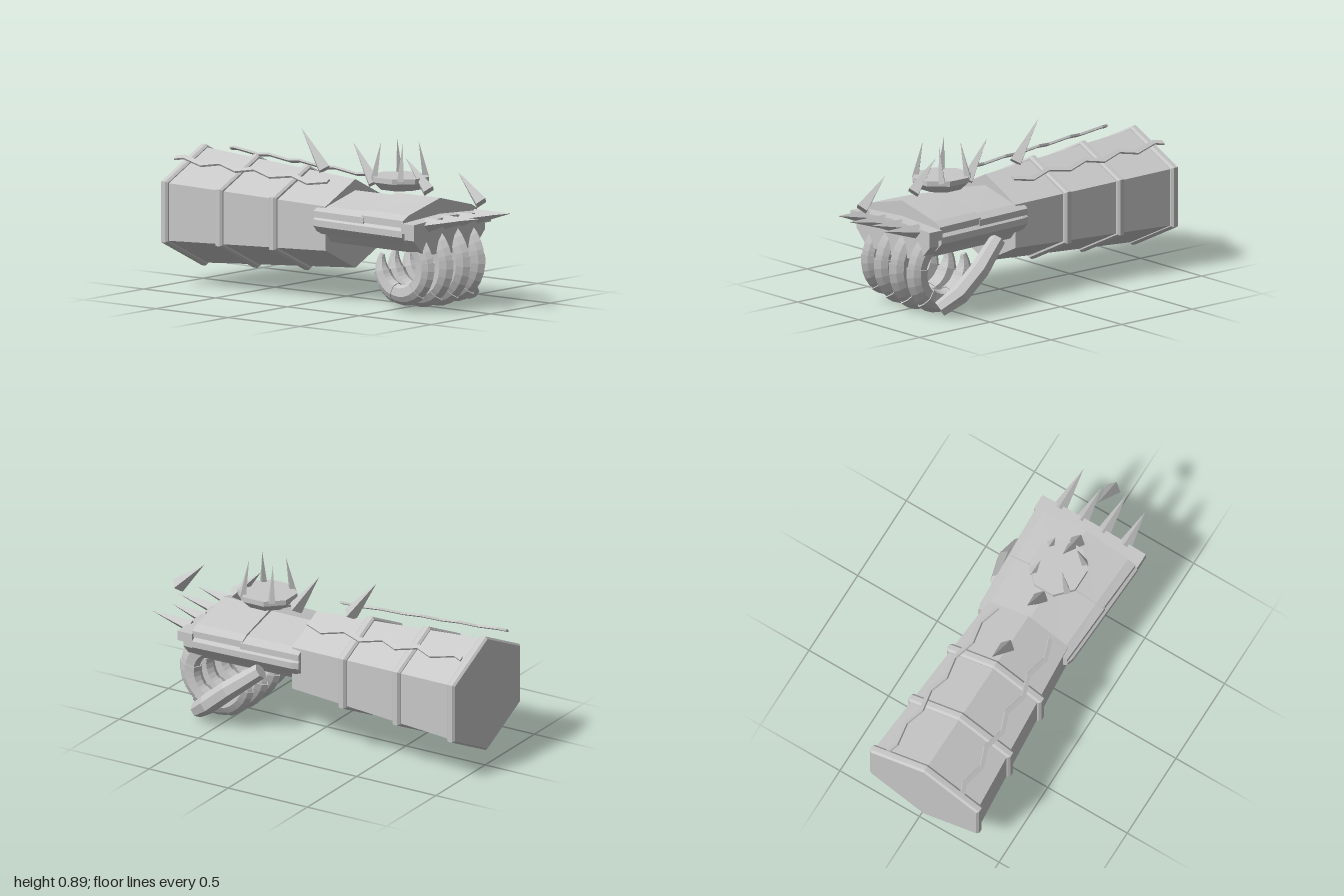
import * as THREE from 'three';

const MID = 0.025; // z of the arm's centre line
const steel = new THREE.MeshStandardMaterial({ color: 0xc8c8c8, flatShading: true });
steel.name = 'steel';

const V = (x, y, z) => new THREE.Vector3(x, y, z);

// Closed faceted solid through a list of equal-sized rings of points
function loft(rings) {
  const tris = [];
  const n = rings[0].length;
  const centre = (r) => r.reduce((a, p) => a.add(p), V(0, 0, 0)).divideScalar(n);
  for (let i = 0; i < rings.length - 1; i++) {
    for (let j = 0; j < n; j++) {
      const k = (j + 1) % n;
      const a = rings[i][j], b = rings[i][k], c = rings[i + 1][k], d = rings[i + 1][j];
      tris.push([a, b, c], [a, c, d]);
    }
  }
  const first = rings[0], last = rings[rings.length - 1];
  const c0 = centre(first), c1 = centre(last);
  for (let j = 0; j < n; j++) {
    const k = (j + 1) % n;
    tris.push([c0, first[k], first[j]], [c1, last[j], last[k]]);
  }
  // turn the faces outward if the rings run the other way
  let volume = 0;
  for (const [a, b, c] of tris) {
    volume += a.clone().sub(c0).dot(b.clone().sub(c0).cross(c.clone().sub(c0)));
  }
  const points = tris.flatMap(([a, b, c]) => (volume < 0 ? [a, c, b] : [a, b, c]));
  const geo = new THREE.BufferGeometry().setFromPoints(points);
  geo.computeVertexNormals();
  return geo;
}

// Ring at x from [z, y] pairs, z measured from the centre line and scaled
const ringX = (x, pairs, s = 1) => pairs.map(([z, y]) => V(x, y, MID + z * s));
// Right half of an outline, mirrored into a full one
const mirrored = (half) => [...half, ...half.slice().reverse().filter(([z]) => z !== 0).map(([z, y]) => [-z, y])];

export function createModel() {
  const model = new THREE.Group();
  model.name = 'gauntlet';
  const add = (name, geo, parent = model) => {
    const mesh = new THREE.Mesh(geo, steel);
    mesh.name = name;
    parent.add(mesh);
    return mesh;
  };
  const group = (name) => {
    const g = new THREE.Group();
    g.name = name;
    model.add(g);
    return g;
  };
  const spike = (name, base, tip, r, parent) => {
    const dir = tip.clone().sub(base);
    const mesh = add(name, new THREE.ConeGeometry(r, dir.length(), 4), parent);
    mesh.position.copy(base).add(tip).multiplyScalar(0.5);
    mesh.quaternion.setFromUnitVectors(V(0, 1, 0), dir.normalize());
  };

  // Six-sided forearm sleeve, tapering to the wrist
  const hexRing = (x, r) => Array.from({ length: 6 }, (_, i) => {
    const a = (i * Math.PI) / 3;
    return V(x, 0.41 + r * Math.cos(a), MID + 1.2 * r * Math.sin(a));
  });
  add('forearmSleeve', loft([hexRing(-0.99, 0.315), hexRing(0.08, 0.24)]));
  const bands = group('sleeveBands');
  [[-0.975, 0.33], [-0.615, 0.308], [-0.26, 0.286]].forEach(([x, r]) => {
    add('sleeveBand', loft([
      hexRing(x - 0.025, r - 0.012), hexRing(x - 0.013, r), hexRing(x + 0.013, r), hexRing(x + 0.025, r - 0.012),
    ]), bands);
  });

  // Zigzag trims hovering over the upper faces
  const zigX = [-0.98, -0.93, -0.79, -0.69, -0.56, -0.46, -0.33, -0.21, -0.08, 0.03];
  for (const side of [-1, 1]) {
    const rings = zigX.map((x, i) => {
      const t = (x + 0.98) / 1.01;
      const zig = i === 0 ? 0 : i % 2 ? -0.016 : 0.016;
      const z = 0.233 - 0.05 * t + zig, y = 0.69 - 0.047 * t - 0.6 * zig;
      return [[-0.008, 0.012], [0.014, -0.002], [0.008, -0.012], [-0.014, 0.002]]
        .map(([dz, dy]) => V(x, y + dy, MID + side * (z + dz)));
    });
    add('zigzagTrim', loft(rings));
  }

  // Hand: palm block, ridged back plates, side rails and knuckle bar
  const palm = mirrored([[0, 0.31], [0.18, 0.325], [0.23, 0.335], [0.3, 0.41], [0.3, 0.48], [0, 0.5]]);
  add('palm', loft([ringX(0.08, palm, 0.9), ringX(0.66, palm), ringX(0.735, palm)]));
  const lower = mirrored([[0, 0.46], [0.31, 0.47], [0.31, 0.505], [0.26, 0.53], [0, 0.59]]);
  add('rearHandPlate', loft([ringX(0.02, lower, 0.9), ringX(0.38, lower, 0.96)]));
  const upper = mirrored([[0, 0.46], [0.305, 0.48], [0.305, 0.515], [0.26, 0.54], [0, 0.605]]);
  add('frontHandPlate', loft([ringX(0.365, upper, 0.96), ringX(0.67, upper, 1.02)]));
  for (const side of [-1, 1]) {
    const rail = [[0.24, 0.385], [0.275, 0.38], [0.32, 0.425], [0.32, 0.46], [0.3, 0.475], [0.24, 0.475]]
      .map(([z, y]) => [z * side, y]);
    add('sideRail', loft([ringX(0.02, rail, 0.88), ringX(0.06, rail, 0.92), ringX(0.67, rail, 1.01)]));
  }
  const bar = mirrored([[0, 0.44], [0.325, 0.448], [0.325, 0.502], [0, 0.52]]);
  add('knuckleBar', loft([ringX(0.665, bar), ringX(0.755, bar)]));

  // Knuckle spikes
  const knuckles = group('knuckleSpikes');
  [[0.225, 0.95], [0.088, 0.99], [-0.047, 0.95], [-0.185, 0.99]].forEach(([z, tip]) => {
    spike('knuckleSpike', V(0.74, 0.487, z), V(tip, 0.527, z), 0.04, knuckles);
  });

  // Curled fingers made of overlapping ridged plates
  const section = [[0.07, 0], [0.045, 0.03], [0.01, 0.05], [-0.045, 0.042],
    [-0.062, 0], [-0.045, -0.042], [0.01, -0.05], [0.045, -0.03]];
  const plates = [[62, 5], [10, -55], [-50, -115], [-110, -165], [-160, -200]];
  const fingers = group('fingers');
  [[0.22, 0.155, 0.9], [0.088, 0.172, 1], [-0.045, 0.178, 1.03], [-0.18, 0.172, 1]].forEach(([z, radius, size]) => {
    plates.forEach(([from, to], p) => {
      const rings = [];
      for (let i = 0; i <= 5; i++) {
        const t = i / 5, a = THREE.MathUtils.degToRad(from + (to - from) * t);
        const s = size * (p === 4 ? 0.85 - 0.6 * t : 1 - 0.12 * t);
        rings.push(section.map(([r, w]) =>
          V(0.575 + (radius + r * s) * Math.cos(a), 0.25 + (radius + r * s) * Math.sin(a), z + w * s)));
      }
      add('fingerPlate', loft(rings), fingers);
    });
  });

  // Bent thumb on the far side
  const path = [V(0.25, 0.37, -0.27), V(0.42, 0.24, -0.32), V(0.55, 0.13, -0.315), V(0.65, 0.055, -0.262)];
  add('thumb', loft(path.map((p, i) => {
    const dir = path[Math.min(i + 1, 3)].clone().sub(path[Math.max(i - 1, 0)]).normalize();
    const u = V(0, 0, 1).addScaledVector(dir, -dir.z).normalize();
    const v = dir.clone().cross(u);
    const r = [0.045, 0.055, 0.056, 0.045][i];
    return Array.from({ length: 7 }, (_, k) => {
      const a = (k * Math.PI * 2) / 7;
      return p.clone().addScaledVector(u, r * Math.cos(a)).addScaledVector(v, r * Math.sin(a));
    });
  })));

  // Eight-sided crown with four upright spikes
  const crown = group('crown');
  const octagon = (y, r) => Array.from({ length: 8 }, (_, i) => {
    const a = ((i + 0.5) * Math.PI) / 4;
    return V(0.39 + r * 1.04 * Math.cos(a), y, MID + r * 0.97 * Math.sin(a));
  });
  add('crownDisc', loft([octagon(0.63, 0.115), octagon(0.672, 0.16), octagon(0.7, 0.16)]), crown);
  for (const sx of [-1, 1]) {
    for (const sz of [-1, 1]) {
      spike('crownSpike', V(0.39 + sx * 0.092, 0.685, MID + sz * 0.108), V(0.39 + sx * 0.075, 0.885, MID + sz * 0.067), 0.024, crown);
    }
  }

  // Swept-back spikes along the ridge
  const ridge = group('ridgeSpikes');
  [[-0.135, 0.68, -0.298, 0.895], [0.21, 0.64, 0.065, 0.85], [0.59, 0.635, 0.43, 0.8], [0.955, 0.605, 0.79, 0.762]]
    .forEach(([bx, by, tx, ty]) => spike('ridgeSpike', V(bx, by, MID), V(tx, ty, MID), 0.042, ridge));

  return model;
}
